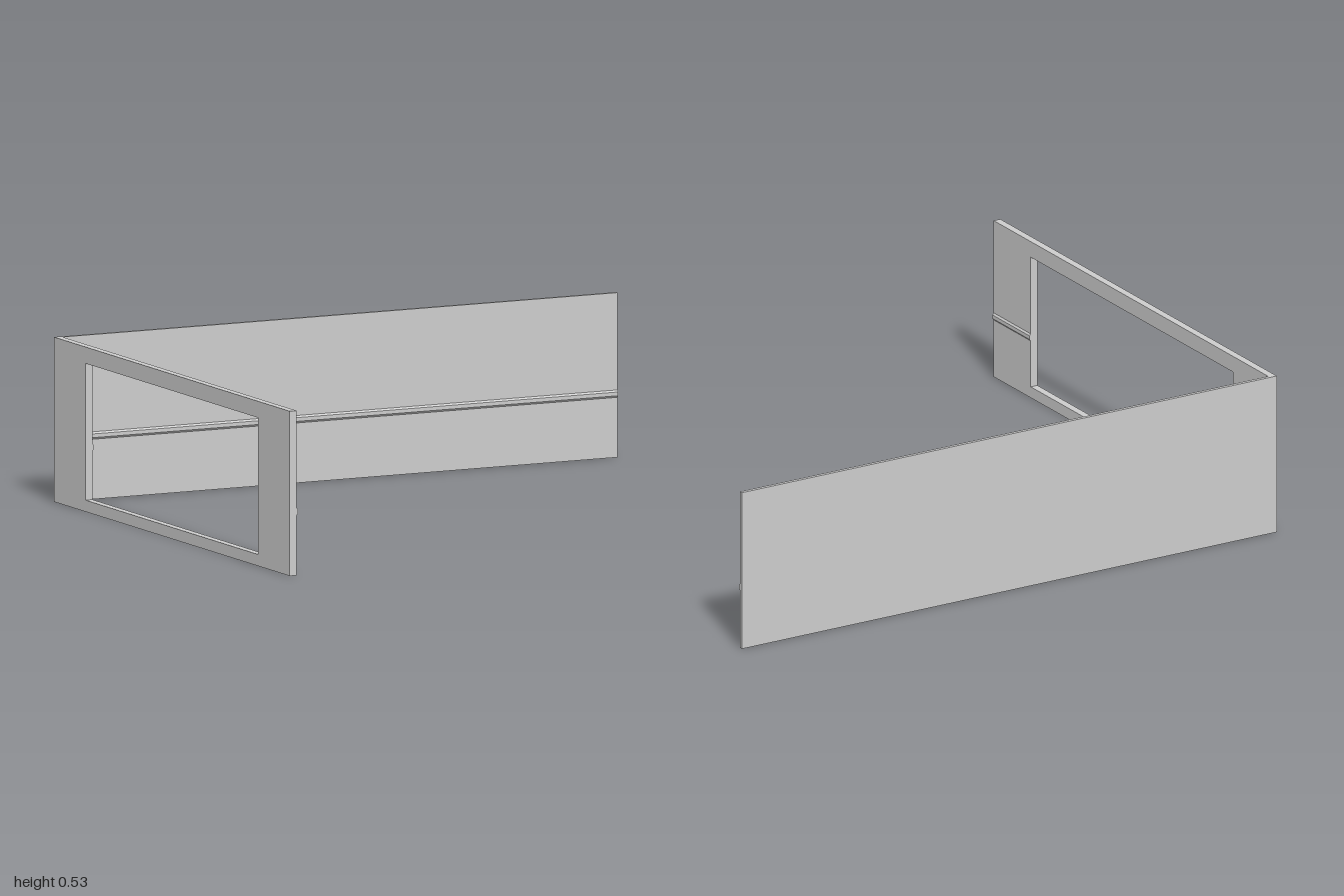
import * as THREE from 'three';

const H = 0.53, D = 0.833, T = 0.025, BT = 0.012;
const RAIL_Y = 0.205, RAIL_H = 0.024, RAIL_D = 0.005;

export function createModel() {
  const group = new THREE.Group();
  const material = new THREE.MeshStandardMaterial({ color: 0xcccccc, flatShading: true });

  const add = (name, geometry) => {
    const mesh = new THREE.Mesh(geometry, material);
    mesh.name = name;
    group.add(mesh);
    return mesh;
  };

  // Slim moulding with bevelled edges: runs along +z, projects toward +x
  const railGeometry = (length) => {
    const h = RAIL_H / 2;
    const profile = new THREE.Shape([
      new THREE.Vector2(-0.001, -h),
      new THREE.Vector2(0, -h),
      new THREE.Vector2(RAIL_D, -h / 2),
      new THREE.Vector2(RAIL_D, h / 2),
      new THREE.Vector2(0, h),
      new THREE.Vector2(-0.001, h),
    ]);
    return new THREE.ExtrudeGeometry(profile, { depth: length, bevelEnabled: false });
  };

  // Side wall with a window opening, drawn in (-z, y) and extruded along x
  const wall = new THREE.Shape([
    new THREE.Vector2(-D, 0), new THREE.Vector2(D, 0),
    new THREE.Vector2(D, H), new THREE.Vector2(-D, H),
  ]);
  const W = 0.61, SILL = 0.037, HEAD = 0.477;
  wall.holes.push(new THREE.Path([
    new THREE.Vector2(-W, SILL), new THREE.Vector2(-W, HEAD),
    new THREE.Vector2(W, HEAD), new THREE.Vector2(W, SILL),
  ]));
  const wallGeometry = new THREE.ExtrudeGeometry(wall, { depth: T, bevelEnabled: false });
  wallGeometry.rotateY(Math.PI / 2);
  add('windowWall', wallGeometry).position.x = -1;

  // Plain back wall
  const backLength = 2 - T;
  add('backWall', new THREE.BoxGeometry(backLength, H, BT))
    .position.set(T / 2, H / 2, -D + BT / 2);

  // Mouldings on the inner faces, broken at the window
  add('windowWallRailBack', railGeometry(D - BT - W)).position.set(-1 + T, RAIL_Y, -D + BT);
  add('windowWallRailFront', railGeometry(D - W)).position.set(-1 + T, RAIL_Y, W);

  const backRail = railGeometry(backLength);
  backRail.rotateY(-Math.PI / 2);
  add('backWallRail', backRail).position.set(1, RAIL_Y, -D + BT);

  return group;
}
